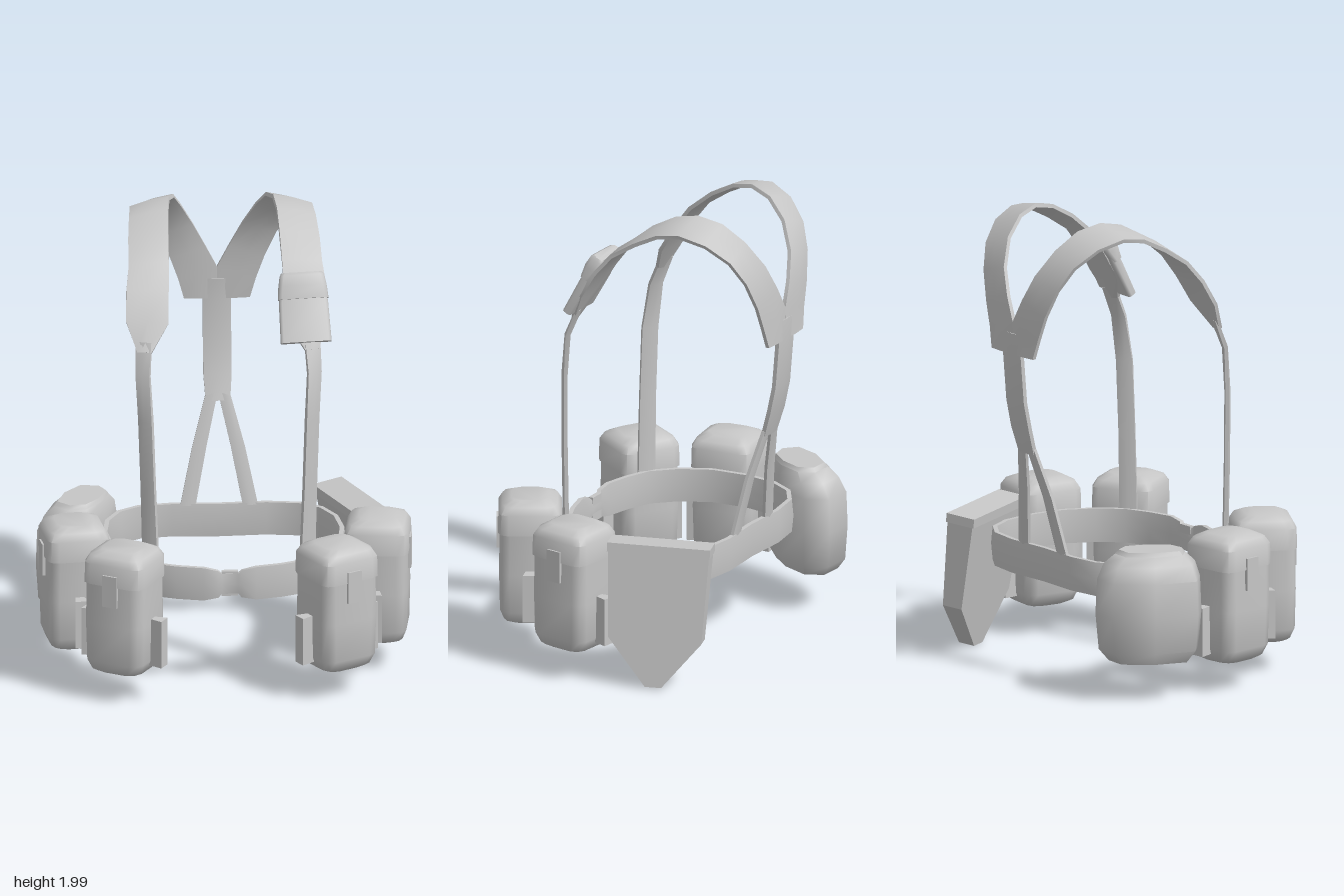
import * as THREE from 'three';
import { toCreasedNormals } from 'three/addons/utils/BufferGeometryUtils.js';

const canvasGrey = new THREE.MeshStandardMaterial({ color: 0xc6c6c6 });
canvasGrey.name = 'canvasGrey';

function addMesh(parent, name, geometry) {
  const mesh = new THREE.Mesh(geometry, canvasGrey);
  mesh.name = name;
  parent.add(mesh);
  return mesh;
}

// Skin a list of rings (each counter-clockwise seen from the end), capped unless closed.
function loft(rings, closed = false, crease = 0.9) {
  const n = rings[0].length, pos = [], idx = [];
  rings.forEach(r => r.forEach(p => pos.push(p.x, p.y, p.z)));
  const last = closed ? rings.length : rings.length - 1;
  for (let i = 0; i < last; i++) {
    const a = i * n, b = ((i + 1) % rings.length) * n;
    for (let k = 0; k < n; k++) {
      const m = (k + 1) % n;
      idx.push(a + k, a + m, b + m, a + k, b + m, b + k);
    }
  }
  if (!closed) {
    const e = (rings.length - 1) * n;
    for (let k = 1; k < n - 1; k++) idx.push(0, k + 1, k, e, e + k, e + k + 1);
  }
  const g = new THREE.BufferGeometry();
  g.setAttribute('position', new THREE.Float32BufferAttribute(pos, 3));
  g.setIndex(idx);
  return toCreasedNormals(g, crease);
}

// Slightly crowned webbing strip from pairs of edge points [x1, y1, z1, x2, y2, z2].
function strap(sections, thickness, closed = false) {
  const s = sections.map(v => [new THREE.Vector3(...v.slice(0, 3)), new THREE.Vector3(...v.slice(3))]);
  const mids = s.map(([a, b]) => a.clone().add(b).multiplyScalar(0.5));
  const N = s.length;
  const rings = s.map(([a, b], i) => {
    const next = closed ? (i + 1) % N : Math.min(i + 1, N - 1);
    const prev = closed ? (i + N - 1) % N : Math.max(i - 1, 0);
    const normal = mids[next].clone().sub(mids[prev]).cross(b.clone().sub(a)).normalize();
    const at = (p, k) => p.clone().addScaledVector(normal, k * thickness);
    return [at(a, -0.35), at(mids[i], -0.6), at(b, -0.35), at(b, 0.35), at(mids[i], 0.6), at(a, 0.35)];
  });
  return loft(rings, closed);
}
const mirrorX = list => list.map(([a, b, c, d, e, f]) => [-a, b, c, -d, e, f]);

// Horizontal rounded rectangle with three points to each corner.
function roundedRing(y, hx, hz, r) {
  const pts = [];
  [[1, 1], [-1, 1], [-1, -1], [1, -1]].forEach(([sx, sz], q) => {
    for (let k = 0; k < 3; k++) {
      const a = (q + k / 2) * Math.PI / 2;
      // corners run from +x through -z
      pts.push(new THREE.Vector3(sx * (hx - r) + r * Math.cos(a), y, -sz * (hz - r) - r * Math.sin(a)));
    }
  });
  return pts;
}

// Ammunition pouch; its front faces local +z.
function makePouch(name) {
  const g = new THREE.Group();
  g.name = name;
  const ring = ([y, h]) => roundedRing(y, h, h - 0.005, 0.045);
  addMesh(g, 'pouchBody', loft([[0.13, 0.09], [0.145, 0.115], [0.19, 0.132], [0.36, 0.136], [0.56, 0.134]].map(ring)));
  addMesh(g, 'pouchLid', loft([[0.54, 0.141], [0.63, 0.139], [0.662, 0.122], [0.682, 0.085]].map(ring)));
  addMesh(g, 'closureTab', new THREE.BoxGeometry(0.068, 0.14, 0.02)).position.set(0, 0.52, 0.133);
  // side fins flare outward
  for (const s of [1, -1]) {
    const fin = new THREE.BoxGeometry(0.07, 0.21, 0.06);
    const p = fin.attributes.position;
    for (let i = 0; i < p.count; i++) if (p.getX(i) * s < 0) p.setZ(i, p.getZ(i) * 0.5);
    fin.computeVertexNormals();
    addMesh(g, 'sideFin', fin).position.set(0.155 * s, 0.275, 0);
  }
  return g;
}

export function createModel() {
  const model = new THREE.Group();
  model.name = 'loadHarness';

  // Belt: half path as [x, z, half height], mirrored into a loop
  const half = [[0.035, 0.365, 0.045], [0.05, 0.372, 0.06], [0.11, 0.367, 0.073], [0.22, 0.34, 0.073],
    [0.33, 0.295, 0.073], [0.42, 0.2, 0.073], [0.485, 0.07, 0.073], [0.503, -0.09, 0.073],
    [0.485, -0.23, 0.073], [0.43, -0.335, 0.073], [0.34, -0.395, 0.073], [0.2, -0.415, 0.073]];
  const loop = [...half, [0, -0.405, 0.073], ...half.slice().reverse().map(([x, z, h]) => [-x, z, h])];
  addMesh(model, 'belt', strap(loop.map(([x, z, h]) => [x, 0.487 - h, z, x, 0.487 + h, z]), 0.028, true));
  addMesh(model, 'buckle', new THREE.BoxGeometry(0.07, 0.11, 0.022)).position.set(0, 0.487, 0.362);

  // Shoulder straps and their narrow front and back ends
  const front = [[0.3, 0.54, 0.33, 0.362, 0.54, 0.285], [0.315, 0.9, 0.33, 0.37, 0.9, 0.285],
    [0.325, 1.2, 0.325, 0.38, 1.2, 0.28], [0.335, 1.4, 0.295, 0.392, 1.4, 0.265],
    [0.325, 1.53, 0.235, 0.39, 1.53, 0.215]];
  const shoulder = [[0.325, 1.49, 0.25, 0.385, 1.49, 0.24], [0.25, 1.6, 0.19, 0.43, 1.61, 0.18],
    [0.245, 1.72, 0.115, 0.425, 1.72, 0.115], [0.24, 1.82, 0.04, 0.41, 1.81, 0.04],
    [0.235, 1.91, -0.07, 0.405, 1.88, -0.07], [0.23, 1.97, -0.18, 0.395, 1.935, -0.18],
    [0.22, 1.99, -0.28, 0.385, 1.95, -0.28], [0.195, 1.965, -0.38, 0.35, 1.915, -0.39],
    [0.16, 1.89, -0.47, 0.3, 1.84, -0.48], [0.105, 1.78, -0.535, 0.25, 1.74, -0.53],
    [0.05, 1.67, -0.56, 0.2, 1.62, -0.555], [0, 1.57, -0.57, 0.165, 1.52, -0.563],
    [0, 1.43, -0.573, 0.14, 1.43, -0.573]];
  const backLeg = [[0, 1.03, -0.505, 0.055, 1.01, -0.5], [0.052, 0.8, -0.45, 0.112, 0.8, -0.45],
    [0.1, 0.55, -0.41, 0.165, 0.55, -0.41]];
  for (const [side, f] of [['left', l => l], ['right', mirrorX]]) {
    addMesh(model, side + 'FrontStrap', strap(f(front), 0.022));
    addMesh(model, side + 'ShoulderStrap', strap(f(shoulder), 0.024));
    addMesh(model, side + 'BackLegStrap', strap(f(backLeg), 0.02));
  }
  addMesh(model, 'centreBackStrap', strap([[1.52, -0.57], [1.42, -0.573], [1.22, -0.556], [1.1, -0.53], [0.99, -0.497]]
    .map(([y, z], i) => { const w = i < 4 ? 0.06 : 0.052; return [-w, y, z, w, y, z]; }), 0.026));

  // Shoulder pouch with overhanging flap
  const dressing = new THREE.Group();
  dressing.name = 'shoulderPouch';
  dressing.position.set(0.325, 1.655, 0.175);
  dressing.rotation.set(-0.5, 0, 0.04);
  addMesh(dressing, 'pouchBody', loft([[-0.15, 0.108, 0.02], [0.02, 0.104, 0.024], [0.13, 0.09, 0.02]]
    .map(([y, hx, hz]) => roundedRing(y, hx, hz, 0.012))));
  addMesh(dressing, 'pouchFlap', loft([[0.035, 0.107, 0.024], [0.09, 0.102, 0.034], [0.135, 0.094, 0.032], [0.148, 0.088, 0.022]]
    .map(([y, hx, hz]) => roundedRing(y, hx, hz, 0.016)))).position.z = 0.006;
  model.add(dressing);

  // Four ammunition pouches
  for (const s of [1, -1]) {
    const side = s > 0 ? 'left' : 'right';
    const a = makePouch(side + 'FrontPouch');
    a.position.set(0.45 * s, 0, 0.413);
    a.rotation.y = 0.53 * s;
    const b = makePouch(side + 'SidePouch');
    b.position.set(0.645 * s, 0, 0.08);
    b.rotation.y = 1.44 * s;
    model.add(a, b);
  }

  // Pointed flat tool cover, leaning outward at the tip
  const tool = new THREE.Group();
  tool.name = 'toolCover';
  tool.position.set(0.545, 0.62, -0.29);
  tool.rotation.set(-0.1, 1.95, -0.025, 'YXZ');
  const outline = new THREE.Shape([[-0.218, 0], [-0.2, -0.41], [-0.035, -0.615], [0.035, -0.615], [0.2, -0.41], [0.218, 0]]
    .map(p => new THREE.Vector2(...p)));
  const cover = new THREE.ExtrudeGeometry(outline, { depth: 0.125, bevelEnabled: false });
  cover.translate(0, 0, -0.0625);
  const cp = cover.attributes.position;
  for (let i = 0; i < cp.count; i++) if (cp.getZ(i) < 0) cp.setZ(i, cp.getZ(i) - 0.05 * cp.getY(i) / 0.61);
  cover.computeVertexNormals();
  addMesh(tool, 'coverBody', cover);
  addMesh(tool, 'coverLip', new THREE.BoxGeometry(0.442, 0.04, 0.135)).position.y = -0.015;
  model.add(tool);

  // Canteen in its cover: one footprint scaled up the height
  const foot = [[-0.73, -0.38], [-0.79, -0.2], [-0.705, -0.115], [-0.59, -0.13], [-0.49, -0.25],
    [-0.43, -0.41], [-0.48, -0.51], [-0.61, -0.52]];
  const canteenRings = [[0.175, 0.76, 0], [0.225, 0.94, 0], [0.38, 1, 0], [0.53, 0.97, 0], [0.595, 0.86, 0.01], [0.632, 0.66, 0.02]]
    .map(([y, k, d]) => foot.map(([x, z]) =>
      new THREE.Vector3(-0.61 + d + (x + 0.61) * k, y, -0.315 + d + (z + 0.315) * k)));
  addMesh(model, 'canteenCover', loft(canteenRings, false, 1.1));
  addMesh(model, 'canteenTop', loft([canteenRings[5], canteenRings[5].map(p =>
    new THREE.Vector3(-0.59 + (p.x + 0.59) * 0.9, 0.65, -0.295 + (p.z + 0.295) * 0.9))]));

  return model;
}
